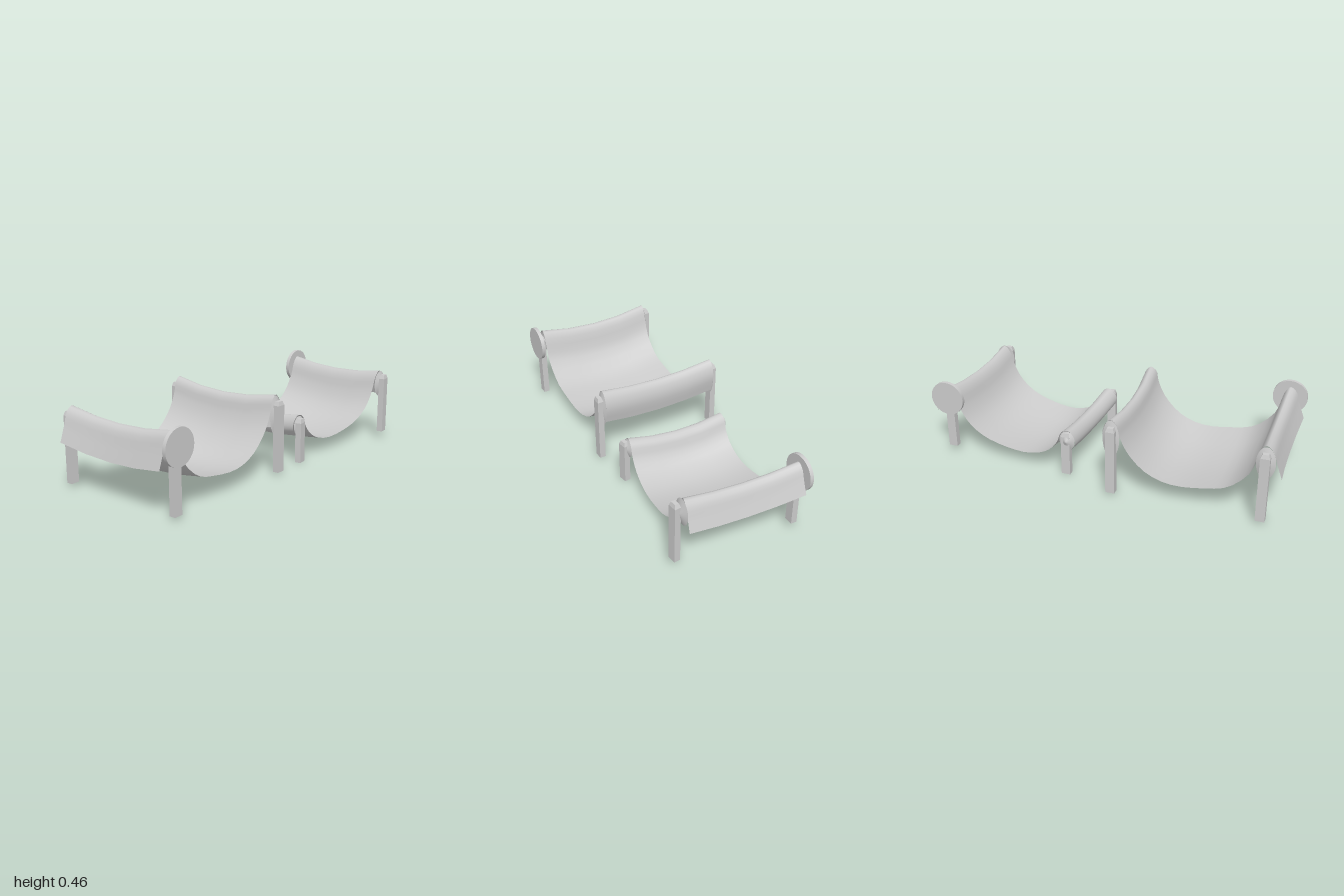
import * as THREE from 'three';

const grey = new THREE.MeshStandardMaterial({ color: 0xcccccc });
const cloth = new THREE.MeshStandardMaterial({ color: 0xcccccc, side: THREE.DoubleSide });
const flat = new THREE.MeshStandardMaterial({ color: 0xcccccc, flatShading: true });

function add(group, name, geometry, material) {
  const mesh = new THREE.Mesh(geometry, material);
  mesh.name = name;
  group.add(mesh);
  return mesh;
}

// Sling: a cross-section swept from the front edge to the back edge, dipping in the middle.
// front and back give the edge z at the two ends; shift slides the back edge along x.
function sling(profile, { front, back, shift, dip, pull }) {
  const curve = new THREE.CatmullRomCurve3(profile.map(([x, y]) => new THREE.Vector3(x, y, 0)));
  const x0 = profile[0][0], x1 = profile[profile.length - 1][0];
  const nu = 44, nv = 4, pos = [], index = [];
  for (let i = 0; i <= nu; i++) {
    const p = curve.getPoint(i / nu);
    const k = (p.x - x0) / (x1 - x0);
    const side = 1 - 2 * k;
    for (let j = 0; j <= nv; j++) {
      const t = j / nv, slack = 4 * t * (1 - t);
      const zf = THREE.MathUtils.lerp(front[0], front[1], k);
      const zb = THREE.MathUtils.lerp(back[0], back[1], k);
      pos.push(p.x + shift * t + pull * slack * side ** 3, p.y - dip * slack, THREE.MathUtils.lerp(zf, zb, t));
      if (i < nu && j < nv) {
        const a = i * (nv + 1) + j, b = a + nv + 1;
        index.push(a, b, a + 1, b, b + 1, a + 1);
      }
    }
  }
  const g = new THREE.BufferGeometry();
  g.setAttribute('position', new THREE.Float32BufferAttribute(pos, 3));
  g.setIndex(index);
  g.computeVertexNormals();
  return g;
}

// Post: a square bar whose top is chamfered
function post(group, name, x, z, bottom, top, turn = 0) {
  const h = top - bottom;
  const g = new THREE.BoxGeometry(0.05, h, 0.034, 1, 2, 1);
  const p = g.attributes.position;
  for (let i = 0; i < p.count; i++) {
    if (p.getY(i) > h / 4) { p.setX(i, p.getX(i) * 0.65); p.setZ(i, p.getZ(i) * 0.65); }
    else if (p.getY(i) > -h / 4) p.setY(i, h / 2 - 0.022);
  }
  const mesh = add(group, name, g, flat);
  mesh.position.set(x, (bottom + top) / 2, z);
  mesh.rotation.y = turn;
}

// Shallow pointed cap closing the end of a rolled edge; dir is +1 for the front, -1 for the back
function cap(group, name, x, y, z, rx, ry, dir) {
  const g = new THREE.ConeGeometry(1, 0.025, 24);
  g.rotateX(dir * Math.PI / 2);
  g.scale(rx, ry, 1);
  add(group, name, g, grey).position.set(x, y, z + dir * 0.0125);
}

// Large round end plate
function disc(group, name, x, y, z) {
  const g = new THREE.CylinderGeometry(0.097, 0.097, 0.02, 32);
  g.rotateX(Math.PI / 2);
  add(group, name, g, grey).position.set(x, y, z);
}

export function createModel() {
  const root = new THREE.Group();
  root.name = 'pairOfSlings';

  // Larger sling on the model's right
  const large = new THREE.Group();
  large.name = 'largeSling';
  root.add(large);
  add(large, 'largeCloth', sling([
    [-0.995, 0.255], [-0.965, 0.34], [-0.94, 0.41], [-0.905, 0.432], [-0.875, 0.39], [-0.84, 0.27],
    [-0.73, 0.16], [-0.6, 0.125], [-0.43, 0.112], [-0.3, 0.155], [-0.2, 0.25], [-0.152, 0.345],
    [-0.135, 0.41], [-0.105, 0.436], [-0.075, 0.41], [-0.058, 0.345], [-0.075, 0.25],
  ], { front: [0.312, 0.303], back: [-0.378, -0.388], shift: 0, dip: 0.035, pull: 0.015 }), cloth);
  post(large, 'frontRightPost', -0.905, 0.325, 0.015, 0.4);
  post(large, 'frontLeftPost', -0.105, 0.325, 0.015, 0.405);
  post(large, 'backRightPost', -0.91, -0.4, 0.015, 0.4);
  post(large, 'backLeftPost', -0.11, -0.404, 0.015, 0.4);
  cap(large, 'frontLeftCap', -0.105, 0.325, 0.302, 0.046, 0.108, 1);
  cap(large, 'backLeftCap', -0.105, 0.325, -0.387, 0.046, 0.108, -1);
  cap(large, 'backRightCap', -0.91, 0.335, -0.378, 0.05, 0.09, -1);
  disc(large, 'largeEndDisc', -0.905, 0.358, 0.35);

  // Smaller sling on the model's left, with one high and one low edge
  const small = new THREE.Group();
  small.name = 'smallSling';
  root.add(small);
  add(small, 'smallCloth', sling([
    [0.125, 0.15], [0.1, 0.19], [0.108, 0.235], [0.14, 0.265], [0.18, 0.25], [0.21, 0.18], [0.27, 0.118],
    [0.38, 0.082], [0.52, 0.092], [0.66, 0.135], [0.75, 0.205], [0.8, 0.29], [0.825, 0.365], [0.86, 0.402],
    [0.892, 0.38], [0.915, 0.32], [0.942, 0.25],
  ], { front: [0.275, 0.372], back: [-0.288, -0.275], shift: 0.038, dip: 0.028, pull: 0.012 }), cloth);
  post(small, 'frontRightPost', 0.135, 0.296, 0, 0.25, 0.15);
  post(small, 'frontLeftPost', 0.85, 0.4, 0.035, 0.385, 0.1);
  post(small, 'backRightPost', 0.192, -0.282, 0, 0.25);
  post(small, 'backLeftPost', 0.9, -0.262, 0.035, 0.385);
  cap(small, 'frontRightCap', 0.145, 0.205, 0.278, 0.045, 0.055, 1);
  cap(small, 'backRightCap', 0.185, 0.205, -0.285, 0.045, 0.055, -1);
  cap(small, 'frontLeftCap', 0.862, 0.325, 0.368, 0.056, 0.076, 1);
  disc(small, 'smallEndDisc', 0.903, 0.342, -0.284);
  return root;
}
